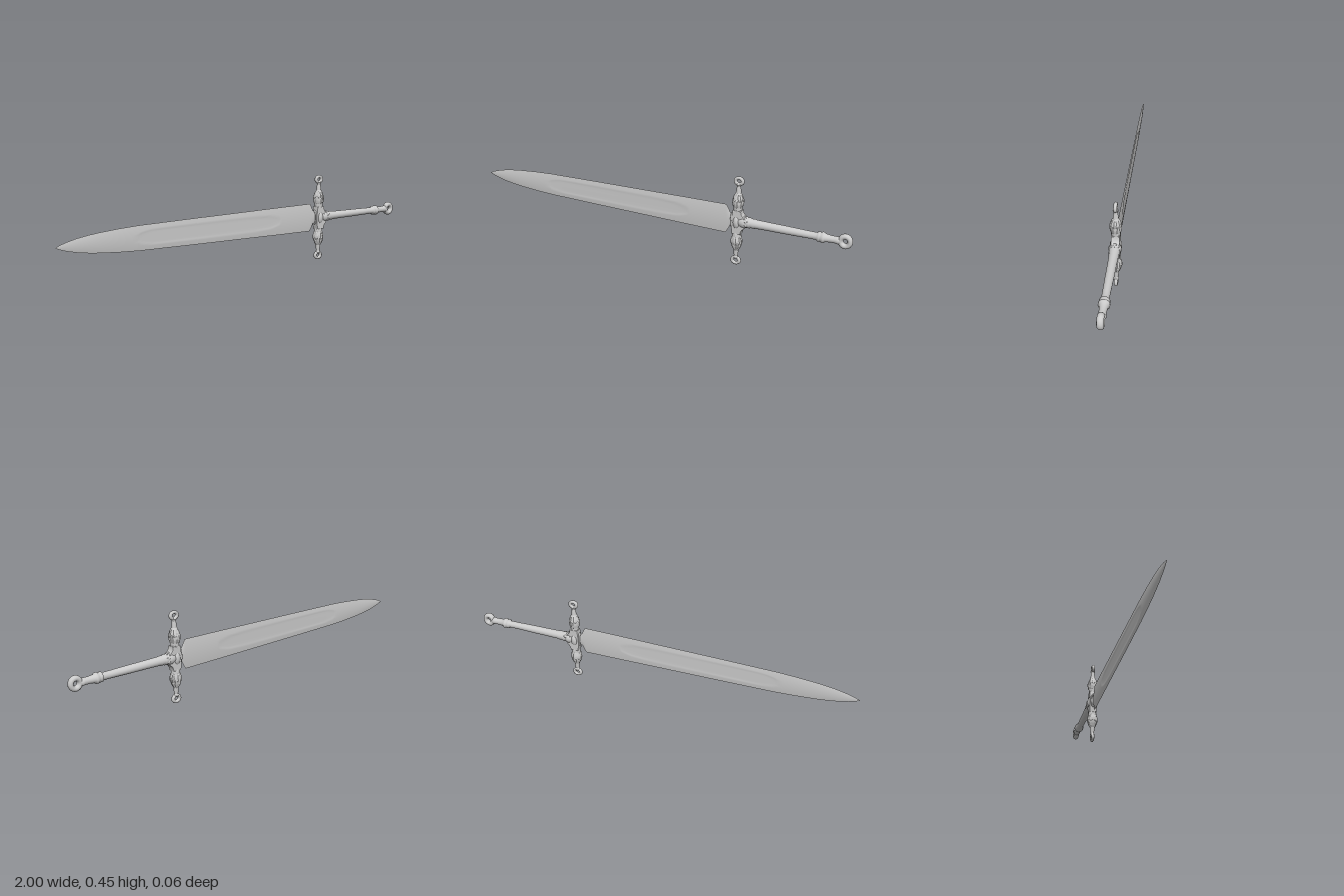
import * as THREE from 'three';

const mat = new THREE.MeshStandardMaterial({ color: 0xcccccc });
const flat = new THREE.MeshStandardMaterial({ color: 0xcccccc, flatShading: true });
const AXIS = 0.231, GUARD_X = 0.453, GUARD_Y = 0.2265;

function add(parent, name, geometry, material = mat, x = 0, y = 0, z = 0) {
  const mesh = new THREE.Mesh(geometry, material);
  mesh.name = name;
  mesh.position.set(x, y, z);
  parent.add(mesh);
  return mesh;
}

const lathe = (pts, sides) =>
  new THREE.LatheGeometry(pts.map(([r, y]) => new THREE.Vector2(r, y)), sides);

// Linear interpolation through [x, value] pairs
function sample(pairs, x) {
  for (let i = 1; i < pairs.length; i++) {
    const [x0, a] = pairs[i - 1], [x1, b] = pairs[i];
    if (x <= x1) return a + (b - a) * (x - x0) / (x1 - x0);
  }
  return pairs[pairs.length - 1][1];
}

// Thin lens-section blade with a shallow fuller on each face
function bladeGeometry() {
  const outline = [[-1, 0.0005], [-0.98, 0.01], [-0.95, 0.02], [-0.9, 0.032], [-0.85, 0.04],
    [-0.8, 0.046], [-0.7, 0.054], [-0.6, 0.059], [-0.3, 0.064], [0, 0.068], [0.2, 0.071],
    [0.395, 0.073], [0.405, 0.056], [0.416, 0.034], [0.435, 0.032]];
  const xs = outline.map(p => p[0]);
  for (let i = 0; i < 50; i++) xs.push(-0.66 + i * 0.0181);
  xs.sort((a, b) => a - b);
  const N = 24, pos = [], idx = [];
  for (const side of [1, -1]) {
    const base = pos.length / 3;
    xs.forEach((x, i) => {
      const h = sample(outline, x);
      for (let j = 0; j <= N; j++) {
        const v = j / N * 2 - 1;
        const u = (x + 0.21) / 0.41, w = v * h / 0.036;
        const inside = Math.max(0, 1 - u ** 8 - w * w);
        const z = 0.0045 * Math.min(1, h / 0.04) * (1 - v * v) - 0.0025 * Math.sqrt(inside);
        pos.push(x, AXIS + v * h, side * Math.max(0, z));
        if (i && j) {
          const d = base + i * (N + 1) + j, c = d - 1, b = d - N - 1, a = b - 1;
          if (side > 0) idx.push(a, c, d, a, d, b);
          else idx.push(a, d, c, a, b, d);
        }
      }
    });
  }
  const g = new THREE.BufferGeometry();
  g.setAttribute('position', new THREE.Float32BufferAttribute(pos, 3));
  g.setIndex(idx);
  g.computeVertexNormals();
  return g;
}

// One arm of the guard, growing along +y from the guard centre
function guardArm() {
  const arm = new THREE.Group();
  arm.name = 'guardArm';
  add(arm, 'armCore', lathe([[0.018, 0.045], [0.021, 0.062], [0.022, 0.075], [0.026, 0.09],
    [0.0265, 0.104], [0.023, 0.122], [0.018, 0.138], [0.013, 0.147], [0.011, 0.165],
    [0.0095, 0.178], [0.013, 0.187], [0.01, 0.193]], 12), flat);
  // Overlapping leaf plates around the bulge
  for (let row = 0; row < 2; row++) {
    for (let i = 0; i < 6; i++) {
      const pivot = new THREE.Group();
      pivot.name = 'leaf';
      pivot.rotation.y = (i + row / 2) * Math.PI / 3;
      const leaf = add(pivot, 'leafPlate', new THREE.SphereGeometry(1, 6, 4), flat,
        0, row ? 0.124 : 0.095, row ? 0.0195 : 0.0235);
      leaf.scale.set(0.011, 0.022, 0.0045);
      leaf.rotation.x = row ? -0.34 : 0.12;
      arm.add(pivot);
    }
  }
  // Pierced end
  const ring = add(arm, 'armRing', new THREE.TorusGeometry(0.0165, 0.0085, 10, 24), mat, 0, 0.2035, 0);
  ring.scale.set(1.08, 0.92, 1);
  return arm;
}

export function createModel() {
  const model = new THREE.Group();
  model.name = 'sword';
  const blade = add(model, 'blade', bladeGeometry());
  blade.material = new THREE.MeshStandardMaterial({ color: 0xcccccc, side: THREE.DoubleSide });

  // Cross guard with mirrored arms
  const guard = new THREE.Group();
  guard.name = 'crossGuard';
  guard.position.set(GUARD_X, GUARD_Y, 0);
  for (const s of [1, -1]) {
    const arm = guardArm();
    if (s < 0) arm.rotation.z = Math.PI;
    guard.add(arm);
    const collar = add(guard, 'guardCollar', new THREE.CylinderGeometry(0.022, 0.02, 0.012, 12), flat, 0, s * 0.056, 0);
    if (s < 0) collar.rotation.z = Math.PI;
  }
  // Waisted centre block
  const block = new THREE.Shape();
  block.moveTo(-0.02, -0.06);
  block.lineTo(0.022, -0.06);
  block.quadraticCurveTo(0.024, -0.036, 0.04, -0.028);
  block.lineTo(0.04, 0.028);
  block.quadraticCurveTo(0.024, 0.036, 0.022, 0.06);
  block.lineTo(-0.02, 0.06);
  block.quadraticCurveTo(-0.03, 0, -0.02, -0.06);
  const blockGeo = new THREE.ExtrudeGeometry(block,
    { depth: 0.032, bevelThickness: 0.004, bevelSize: 0.004, bevelOffset: -0.004, bevelSegments: 2, curveSegments: 8 });
  add(guard, 'guardBlock', blockGeo.translate(0, 0, -0.016), flat);
  // Oval boss on both faces
  const boss = add(guard, 'guardBoss', new THREE.SphereGeometry(1, 20, 14));
  boss.scale.set(0.023, 0.04, 0.028);
  // Raised collar around the blade root
  const mouth = add(guard, 'bladeCollar', new THREE.TorusGeometry(0.03, 0.006, 8, 24), mat, -0.026, 0.003, 0);
  mouth.rotation.y = Math.PI / 2;
  mouth.scale.set(0.45, 1.1, 1);
  model.add(guard);

  // Grip with its collars, turned along x
  const grip = add(model, 'grip', lathe([[0.024, 0.465], [0.03, 0.485], [0.028, 0.495], [0.023, 0.5],
    [0.0255, 0.505], [0.0255, 0.518], [0.0225, 0.522], [0.0235, 0.54], [0.0215, 0.545], [0.0205, 0.6],
    [0.0195, 0.7], [0.0175, 0.8], [0.0175, 0.838], [0.023, 0.841], [0.0235, 0.852], [0.0205, 0.855],
    [0.0255, 0.862], [0.0255, 0.871], [0.0195, 0.876], [0.0165, 0.9], [0.0165, 0.925], [0.019, 0.938],
    [0.012, 0.947]], 20), mat, 0, AXIS - 0.001, 0);
  grip.rotation.z = -Math.PI / 2;
  // Small leaf points wrapping the grip root
  for (let i = 0; i < 6; i++) {
    const a = i * Math.PI / 3;
    const leaf = add(model, 'gripLeaf', new THREE.SphereGeometry(1, 6, 4), flat,
      0.492, AXIS + Math.cos(a) * 0.024, Math.sin(a) * 0.024);
    leaf.scale.set(0.022, 0.0045, 0.01);
    leaf.rotation.x = a;
  }

  // Pierced pommel
  const pommel = add(model, 'pommelRing', new THREE.TorusGeometry(0.0225, 0.0125, 12, 28), mat, 0.966, AXIS, 0);
  pommel.scale.set(0.97, 1.04, 1.2);
  return model;
}
